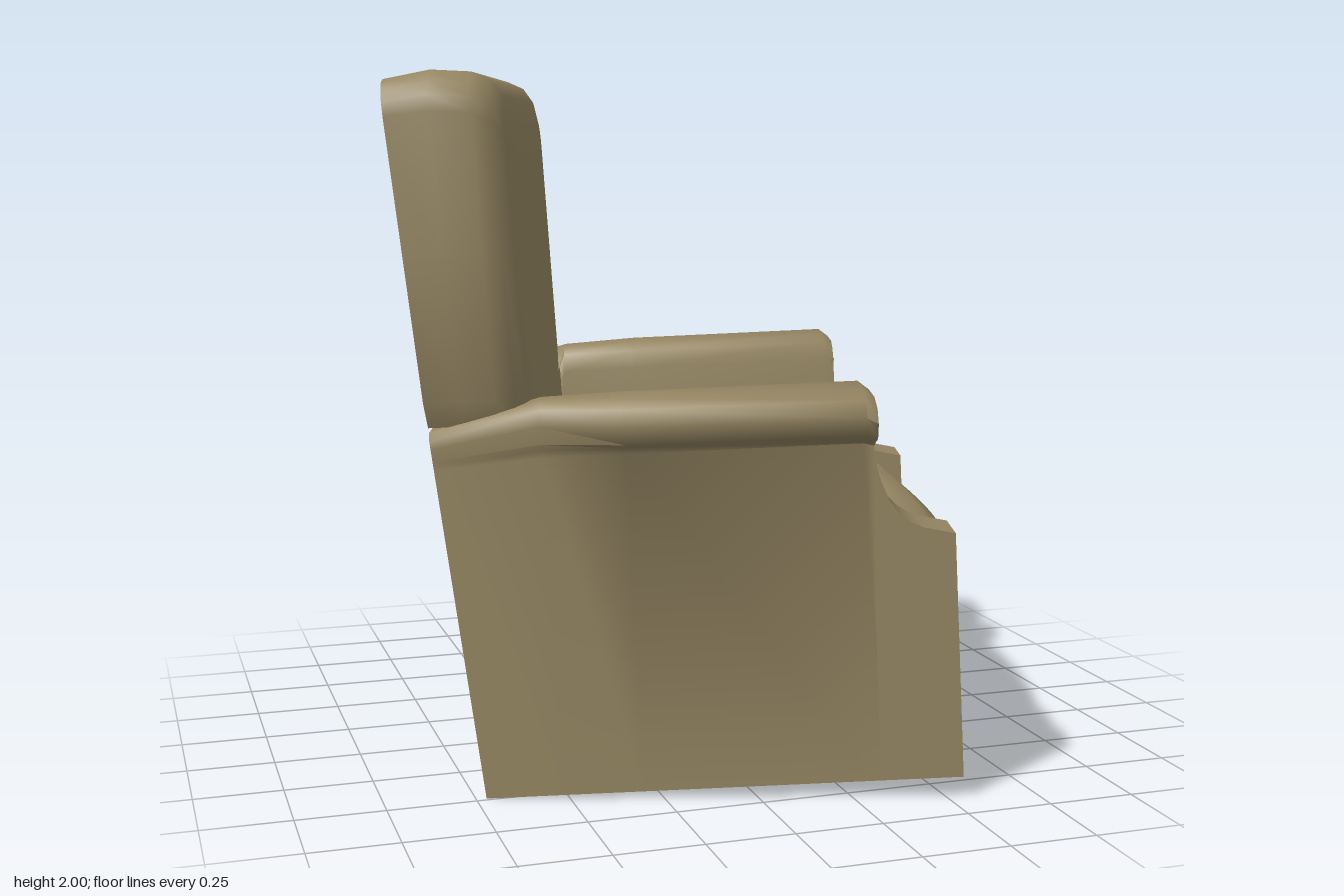
import * as THREE from 'three';
import { toCreasedNormals } from 'three/addons/utils/BufferGeometryUtils.js';

// Built facing +x (x forward, z sideways), then turned and tipped back as a whole.
const upholstery = new THREE.MeshStandardMaterial({ color: 0x978864, side: THREE.DoubleSide });
upholstery.name = 'tan upholstery';

function part(name, geometry, crease = 0.9) {
  const mesh = new THREE.Mesh(toCreasedNormals(geometry, crease), upholstery);
  mesh.name = name;
  return mesh;
}

// Skin between rows of [x, y, z] points
function loft(rows, flip = false) {
  const n = rows[0].length, index = [];
  for (let r = 0; r < rows.length - 1; r++) {
    for (let i = 0; i < n - 1; i++) {
      const a = r * n + i, b = a + 1, c = a + n, d = c + 1;
      if (flip) index.push(a, b, c, b, d, c);
      else index.push(a, c, b, b, c, d);
    }
  }
  const g = new THREE.BufferGeometry();
  g.setAttribute('position', new THREE.Float32BufferAttribute(rows.flat(2), 3));
  g.setIndex(index);
  g.computeVertexNormals();
  return g;
}

// Flat face across the chair from [z, y] points, looking forward
function faceAt(x, points) {
  const g = new THREE.ShapeGeometry(new THREE.Shape(points.map(([z, y]) => new THREE.Vector2(-z, y))));
  g.rotateY(Math.PI / 2);
  g.translate(x, 0, 0);
  return g;
}

// Flat side face from [x, y] points, facing +z or -z
function sideAt(z, points, facing) {
  const g = new THREE.ShapeGeometry(new THREE.Shape(points.map(([x, y]) => new THREE.Vector2(x * facing, y))));
  if (facing < 0) g.rotateY(Math.PI);
  g.translate(0, 0, z);
  return g;
}

// Arm cross-section [z, y]: outer panel, rolled top, inner wall
function armSection(roll, d) {
  const o = 0.715;
  return [
    [o, 0], [o, 0.95 - d * 0.3], [o + 0.05 * roll, 0.972 - d * 0.5], [o + 0.115 * roll, 0.99 - d * 0.5],
    [o + 0.147 * roll, 1.04 - d * 0.7], [o + 0.125 * roll, 1.085 - d], [o - 0.02 + 0.07 * roll, 1.107 - d],
    [0.61, 1.107 - d], [0.56, 1.085 - d], [0.543, 1.03 - d], [0.543, 0.645],
  ];
}

function makeArm(side) {
  const arm = new THREE.Group();
  arm.name = side > 0 ? 'rightArm' : 'leftArm';

  // Outer panel and padded roll, tapering away at the back
  const stations = [[-0.64, 0, 0.08], [-0.34, 0.1, 0.005], [-0.11, 0.85, 0], [0.53, 1, 0], [0.56, 0.95, 0.025]];
  const rows = stations.map(([x, roll, drop], s) =>
    armSection(roll, drop).map(([z, y], i) => {
      if (s > 0) return [x, y, z * side];
      return [i > 7 ? -0.37 : -0.545 - 0.096 * y, y, (z - 0.012 * y) * side];
    }));
  arm.add(part('armPanel', loft(rows, side < 0), 1.1));
  arm.add(part('armRollEnd', faceAt(0.56, armSection(0.95, 0.025).slice(1, 10).map(([z, y]) => [z * side, y]))));

  // Front post with a scooped top: front strip between two thin cheeks
  const curve = new THREE.Path();
  curve.moveTo(0.78, 0);
  curve.lineTo(0.775, 0.69);
  curve.lineTo(0.69, 0.71);
  curve.quadraticCurveTo(0.61, 0.74, 0.585, 0.82);
  curve.quadraticCurveTo(0.545, 0.92, 0.562, 1.03);
  const profile = curve.getPoints(5).map((p) => [p.x, p.y]);
  const strip = [0.715, 0.543].map((z) => profile.map(([x, y]) => [x, y, z * side]));
  arm.add(part('frontPost', loft(strip, side < 0), 0.6));
  arm.add(part('postOuterCheek', sideAt(0.715 * side, [...profile, [0.55, 1.03], [0.55, 0]], side)));
  arm.add(part('postInnerCheek', sideAt(0.543 * side, [...profile, [0.55, 1.03], [0.55, 0.62], [0.7, 0.55], [0.74, 0]], -side)));
  return arm;
}

// Seat cushion running over into a bowed front apron
function makeSeat() {
  const rows = [], half = 0.543;
  for (let i = 0; i <= 12; i++) {
    const z = -half + (2 * half * i) / 12;
    const b = 1 - (z / half) ** 2;
    const dip = 0.04 * b;
    rows.push([
      [-0.365, 0.645, z], [0.1, 0.66 - dip * 0.3, z], [0.5, 0.69 - dip, z],
      [0.62 + 0.05 * b, 0.695 - dip, z], [0.7 + 0.065 * b, 0.665 - dip, z], [0.745 + 0.073 * b, 0.62 - dip, z],
      [0.768 + 0.077 * b, 0.5, z], [0.768 + 0.065 * b, -0.037 * b, z],
    ]);
  }
  return part('seat', loft(rows, true));
}

// Right half of the backrest outline, [z, y], with a rounded top corner
function halfOutline(half, top, radius) {
  const points = [[half - 0.03, 1.04], [half, 1.11], [half, 1.5]];
  for (let i = 0; i <= 4; i++) {
    const a = (i / 4) * Math.PI / 2;
    points.push([half - radius + radius * Math.cos(a), top - radius + radius * Math.sin(a)]);
  }
  return points;
}

function makeBackrest() {
  const back = new THREE.Group();
  back.name = 'backrest';
  // Padded shell, open behind: x, half width, top, corner radius, backward lean
  const layers = [
    [-0.645, 0.712, 1.98, 0.1, 0.075], [-0.55, 0.715, 2.0, 0.11, 0.04], [-0.455, 0.712, 1.99, 0.11, 0.025],
    [-0.405, 0.693, 1.965, 0.11, 0.025], [-0.375, 0.65, 1.92, 0.1, 0.025],
    [-0.36, 0.58, 1.85, 0.08, 0.025], [-0.355, 0.5, 1.76, 0.06, 0.025],
  ];
  const rows = layers.map(([x, half, top, radius, lean]) => {
    const right = halfOutline(half, top, radius);
    const left = right.map(([z, y]) => [-z, y]).reverse();
    return [...right, ...left].map(([z, y]) => [x - lean * (y - 1.04), y, z]);
  });
  back.add(part('backrestShell', loft(rows, true)));
  // Front face continuing down to the seat
  const face = [[0.543, 0.645], [0.543, 1.04], ...halfOutline(0.5, 1.76, 0.06)];
  const rungs = face.map(([z, y]) => [-z, z].map((w) => [-0.355 - 0.025 * (y - 1.04), y, w]));
  back.add(part('backrestFace', loft(rungs)));
  return back;
}

export function createModel() {
  const chair = new THREE.Group();
  chair.name = 'armchair';
  chair.add(makeSeat(), makeBackrest(), makeArm(1), makeArm(-1));
  chair.rotation.set(0, -0.3, 0.045);
  chair.position.set(0.01, 0.025, -0.033);
  const model = new THREE.Group();
  model.name = 'model';
  model.add(chair);
  return model;
}
